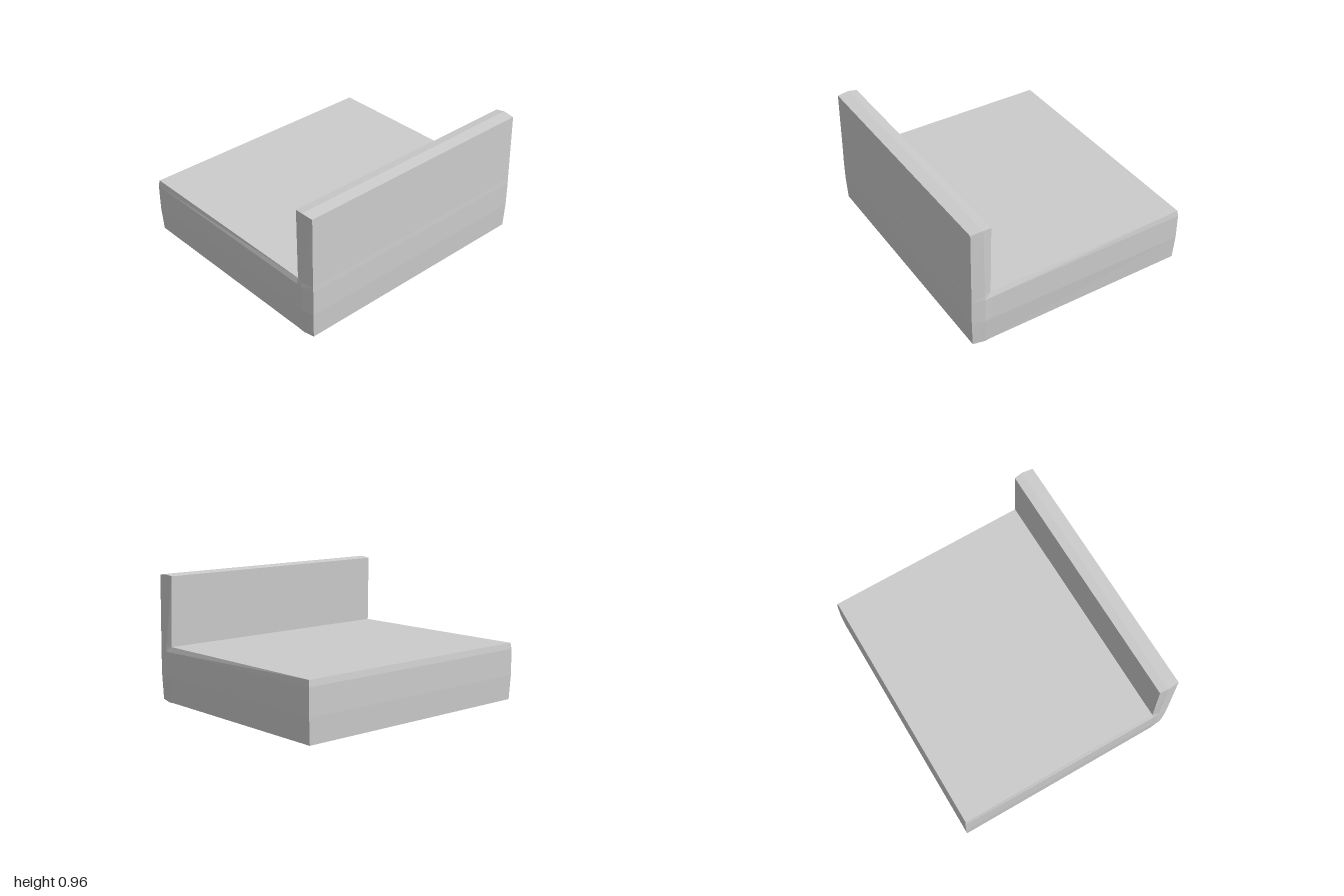
import * as THREE from 'three';

// Outline grid: x per row and column, y per row and column, and half depth.
const X = [
  [-0.863, 0.72, 0.77, 0.86],
  [-0.87, 0.72, 0.77, 0.867],
  [-0.87, 0.72, 0.77, 0.867],
  [-0.863, 0.72, 0.77, 0.865],
  [-0.863, 0.705, 0.77, 0.86],
];
const Y = [
  [0.015, 0.004, 0, 0.012],
  [0.2, 0.2, 0.2, 0.2],
  [0.4, 0.39, 0.39, 0.39],
  [0.446, 0.43, 0.43, 0.43],
  [0.446, 0.957, 0.965, 0.957],
];
const Z = [
  [0.972, 0.982, 0.982, 0.975],
  [0.982, 0.997, 1, 0.981],
  [0.982, 0.997, 1, 0.981],
  [0.975, 0.984, 0.997, 0.981],
  [0.975, 0.976, 0.984, 0.976],
];

export function createModel() {
  const positions = [];
  const point = (c, r, s) => [X[r][c], Y[r][c], s * Z[r][c]];
  const quad = (a, b, c, d) => positions.push(...a, ...b, ...c, ...a, ...c, ...d);
  // The cell above the seat is empty, which leaves the L-shape.
  const filled = (c, r) => c >= 0 && c < 3 && r >= 0 && r < 4 && !(c === 0 && r === 3);

  for (let r = 0; r < 4; r++) {
    for (let c = 0; c < 3; c++) {
      if (!filled(c, r)) continue;
      const corners = [[c, r], [c + 1, r], [c + 1, r + 1], [c, r + 1]];
      // Slightly bulging end faces
      quad(...corners.map(([i, j]) => point(i, j, 1)));
      quad(...corners.map(([i, j]) => point(i, j, -1)).reverse());
      // Long faces wherever the neighbouring cell is empty
      [[0, -1], [1, 0], [0, 1], [-1, 0]].forEach(([dc, dr], k) => {
        if (filled(c + dc, r + dr)) return;
        const a = corners[k], b = corners[(k + 1) % 4];
        quad(point(...a, 1), point(...a, -1), point(...b, -1), point(...b, 1));
      });
    }
  }

  const geometry = new THREE.BufferGeometry();
  geometry.setAttribute('position', new THREE.Float32BufferAttribute(positions, 3));
  geometry.computeVertexNormals();
  const mesh = new THREE.Mesh(
    geometry,
    new THREE.MeshStandardMaterial({ color: 0xcccccc, flatShading: true })
  );
  mesh.name = 'seatWithBackrest';

  const group = new THREE.Group();
  group.name = 'sofaBlock';
  group.add(mesh);
  return group;
}
